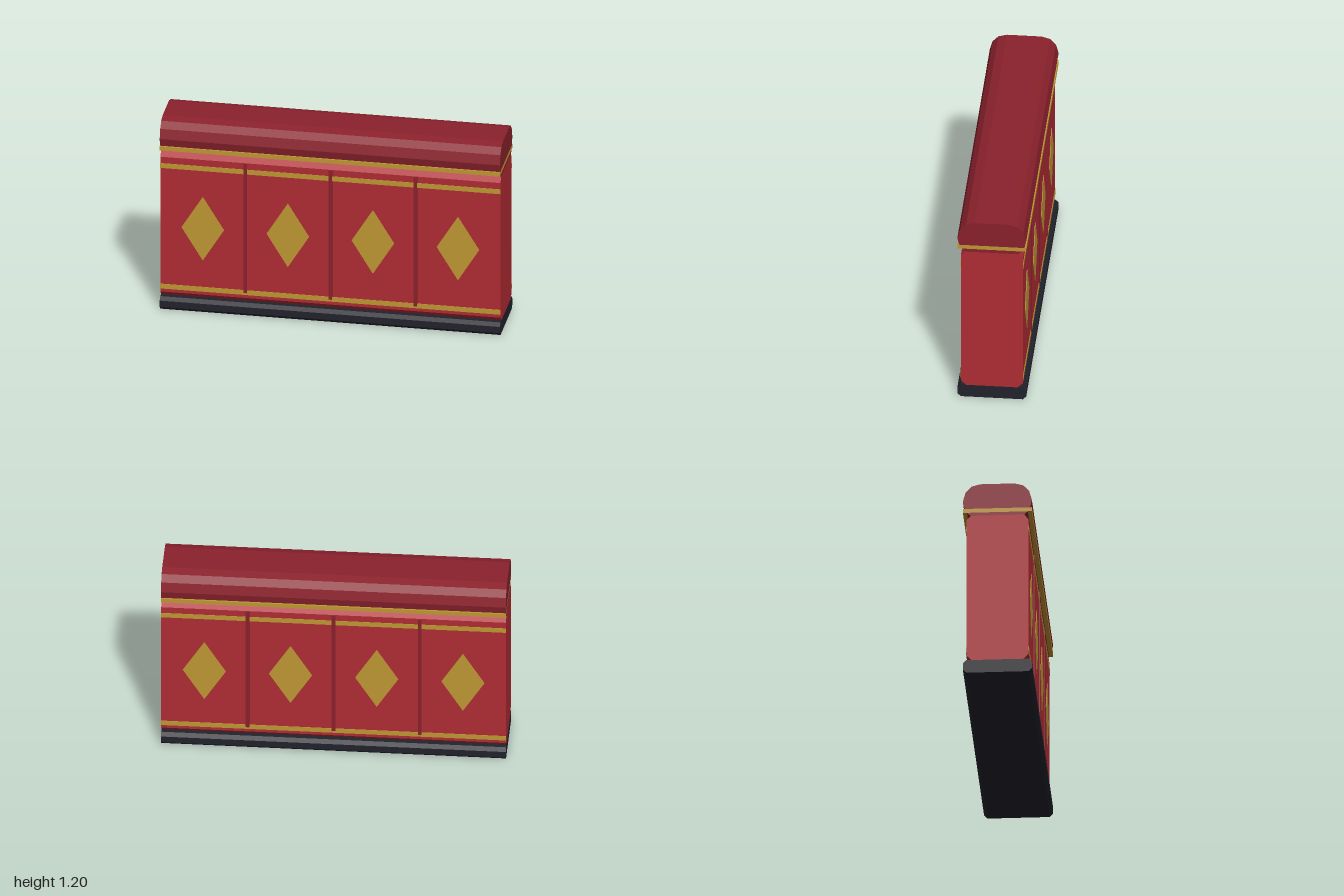
import * as THREE from 'three';

const LENGTH = 2;

function material(name, color) {
  const m = new THREE.MeshStandardMaterial({ color });
  m.name = name;
  return m;
}

// Extrudes a mirrored cross-section, given as [half depth, height] from bottom to top, along x
function profileBar(name, half, mat) {
  const outline = [...half, ...half.map(([z, y]) => [-z, y]).reverse()];
  const shape = new THREE.Shape(outline.map(([z, y]) => new THREE.Vector2(z, y)));
  const geometry = new THREE.ExtrudeGeometry(shape, { depth: LENGTH, bevelEnabled: false });
  geometry.translate(0, 0, -LENGTH / 2).rotateY(Math.PI / 2);
  const mesh = new THREE.Mesh(geometry, mat);
  mesh.name = name;
  return mesh;
}

// Thin plate whose back lies on the wall face at z = 0.18
function plate(name, width, y0, y1, thickness, x, mat) {
  const mesh = new THREE.Mesh(new THREE.BoxGeometry(width, y1 - y0, thickness), mat);
  mesh.position.set(x, (y0 + y1) / 2, 0.18 + thickness / 2);
  mesh.name = name;
  return mesh;
}

export function createModel() {
  const red = material('red', 0xb02c34);
  const darkRed = material('dark red', 0x8a212c);
  const gold = material('gold', 0xc09834);
  const charcoal = material('charcoal', 0x22222c);

  const model = new THREE.Group();
  model.name = 'paddedBarrier';

  // Plinth, padded body and rounded cap
  model.add(
    profileBar('base', [[0.18, 0], [0.2, 0.02], [0.2, 0.06], [0.18, 0.08]], charcoal),
    profileBar('body', [[0.15, 0.08], [0.18, 0.11], [0.18, 0.97], [0.155, 1]], red),
    profileBar('capNeck', [[0.155, 1], [0.176, 1.02]], darkRed),
    profileBar('capTrim', [[0.2, 1.02], [0.2, 1.045]], gold),
    profileBar('cap', [[0.19, 1.045], [0.2, 1.092], [0.184, 1.15], [0.15, 1.186], [0.1, 1.2]], darkRed),
  );

  // Diamond ornament
  const diamond = new THREE.Shape([[0, -0.203], [0.125, 0], [0, 0.203], [-0.125, 0]]
    .map(([x, y]) => new THREE.Vector2(x, y)));
  const diamondGeometry = new THREE.ExtrudeGeometry(diamond, { depth: 0.003, bevelEnabled: false });

  // Same decoration on the front and back
  for (const [side, turn] of [['front', 0], ['back', Math.PI]]) {
    const face = new THREE.Group();
    face.name = side + 'Decoration';
    face.rotation.y = turn;
    face.add(
      plate('lowerBand', LENGTH, 0.13, 0.16, 0.003, 0, gold),
      plate('upperBand', LENGTH, 0.9, 0.93, 0.003, 0, gold),
    );
    for (const x of [-0.5, 0, 0.5]) face.add(plate('seam', 0.022, 0.143, 0.967, 0.005, x, darkRed));
    for (const x of [-0.75, -0.25, 0.25, 0.75]) {
      const mesh = new THREE.Mesh(diamondGeometry, gold);
      mesh.name = 'diamond';
      mesh.position.set(x, 0.532, 0.18);
      face.add(mesh);
    }
    model.add(face);
  }
  return model;
}
